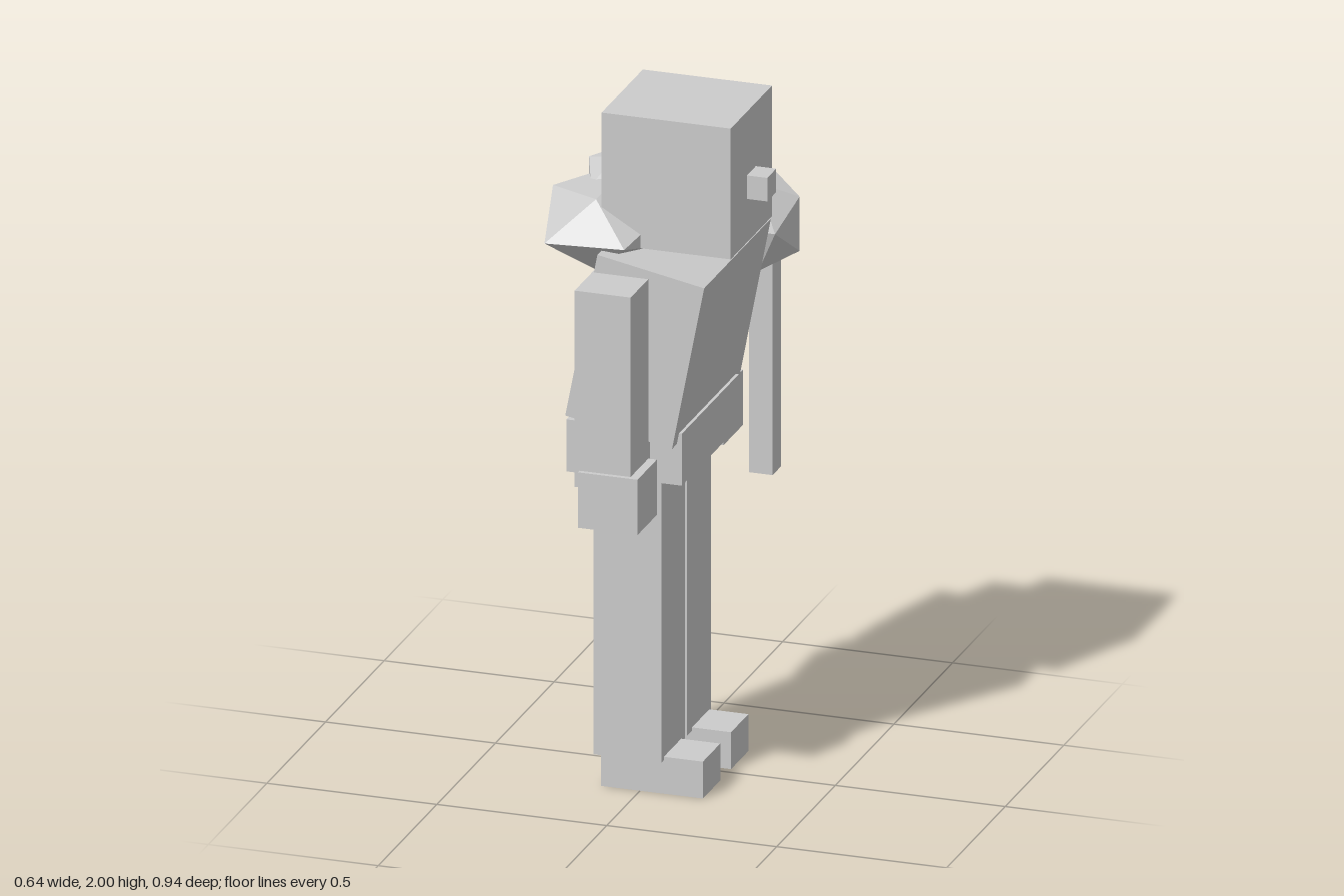
import * as THREE from 'three';

const MID = 0.022; // mirror plane of the body along z

export function createModel() {
  const model = new THREE.Group();
  model.name = 'blockFigure';
  const grey = new THREE.MeshStandardMaterial({ color: 0xcccccc });
  grey.name = 'plain grey';

  const add = (name, geometry, x, y, z) => {
    const mesh = new THREE.Mesh(geometry, grey);
    mesh.name = name;
    mesh.position.set(x, y, z);
    model.add(mesh);
    return mesh;
  };

  // Box given by its x and y ranges, its depth and its centre along z
  const box = (name, x0, x1, y0, y1, depth, z) =>
    add(name, new THREE.BoxGeometry(x1 - x0, y1 - y0, depth), (x0 + x1) / 2, (y0 + y1) / 2, z);

  // Faceted lump: icosahedron stretched to half sizes, with an optional taper along x
  const lump = (name, [hx, hy, hz], x, y, z, taper = 0) => {
    const g = new THREE.IcosahedronGeometry(1, 0);
    g.rotateY(Math.PI / 2);
    g.scale(hx / 0.8507, hy / 0.8507, hz / 0.8507);
    const p = g.attributes.position;
    for (let i = 0; i < p.count; i++) p.setZ(i, p.getZ(i) * (1 - taper * p.getX(i)));
    g.computeVertexNormals();
    return add(name, g, x, y, z);
  };

  // Head and nose
  box('head', -0.12, 0.26, 1.61, 2.0, 0.352, 0.02);
  box('nose', 0.25, 0.32, 1.74, 1.81, 0.076, 0.02);

  // Leaning torso and hips
  add('torso', new THREE.BoxGeometry(0.32, 0.5, 0.57), 0.015, 1.343, 0.02).rotation.z = -0.19;
  box('hips', -0.2, 0.14, 0.945, 1.1, 0.485, MID);

  // Paired limbs
  for (const side of [1, -1]) {
    box('leg', -0.13, 0.07, 0.1, 0.95, 0.201, MID + 0.004 + side * 0.11);
    box('foot', -0.115, 0.185, 0, 0.11, 0.148, MID + side * 0.12);
    box('arm', -0.11, 0.055, 0.98, 1.565, 0.165, MID - 0.002 + side * 0.353);
    box('hand', -0.095, 0.08, 0.865, 1.03, 0.165, MID - 0.002 + side * 0.367);
  }

  // Bundle slung over the back of the shoulders
  lump('shoulderBundle', [0.183, 0.105, 0.264], -0.14, 1.63, 0.022, 0.4);
  lump('bundleTop', [0.095, 0.08, 0.09], -0.155, 1.705, -0.075);

  // Club held in one hand
  box('clubHandle', 0.13, 0.2, 0.765, 1.5, 0.07, -0.37);
  lump('clubHead', [0.1, 0.131, 0.099], 0.167, 1.51, -0.371);

  return model;
}
